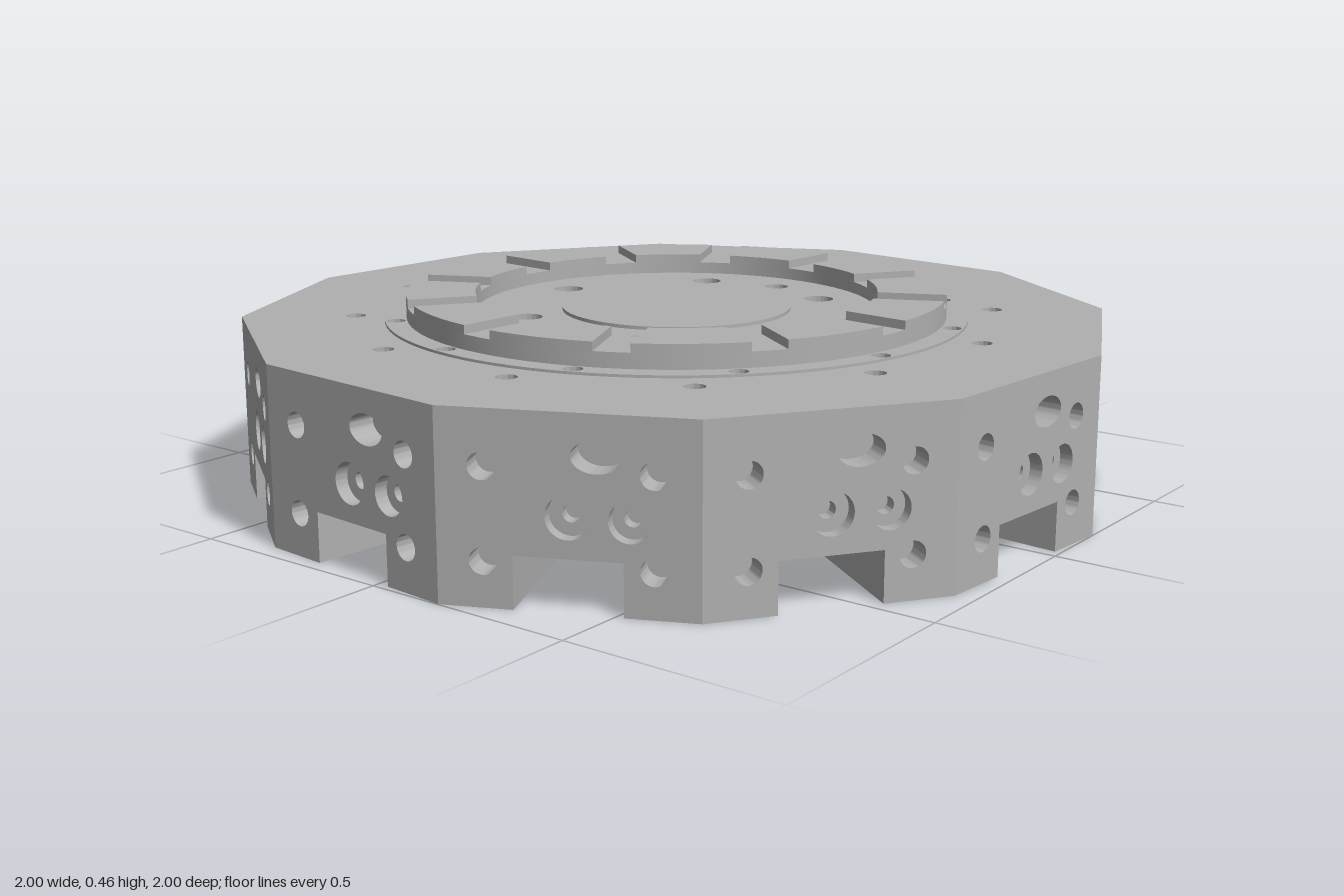
import * as THREE from 'three';
import { toCreasedNormals } from 'three/addons/utils/BufferGeometryUtils.js';

const RAD = Math.PI / 180;
const SIDES = 12, STEP = 30 * RAD;
const FACE0 = 4.8 * RAD;            // direction of the first flat side
const APOTHEM = 0.98, SKIN = 0.06, CORE = APOTHEM - SKIN;
const SLOT = 0.11;                  // half width and height of the tool slots

const steel = new THREE.MeshStandardMaterial({ color: 0xb0b0b0 });
steel.name = 'steel grey';

const faceAngle = (i) => FACE0 + i * STEP;
const cornerAngle = (i) => faceAngle(i) + STEP / 2;
const indices = [...Array(SIDES).keys()];

// Plan point (x, z) from a direction, a distance along it and an offset across it
function plan(angle, along, across = 0) {
  const c = Math.cos(angle), s = Math.sin(angle);
  return new THREE.Vector2(c * along - s * across, s * along + c * across);
}

function ellipse(x, y, rx, ry = rx) {
  return new THREE.Path().absellipse(x, y, rx, ry, 0, Math.PI * 2, true);
}

const hole = (p, r) => ellipse(p.x, p.y, r);

function disc(r, x = 0, y = 0) {
  return new THREE.Shape().absarc(x, y, r, 0, Math.PI * 2, false);
}

function corePolygon() {
  return new THREE.Shape(indices.map((i) => plan(cornerAngle(i), CORE / Math.cos(STEP / 2))));
}

function extrude(shape, depth, segments = 24) {
  const g = new THREE.ExtrudeGeometry(shape, { depth, bevelEnabled: false, curveSegments: segments });
  return toCreasedNormals(g, 0.5);
}

// Horizontal layer between two heights, cut by the given holes
function layer(name, shape, y0, y1, holes = [], segments = 48) {
  shape.holes.push(...holes);
  const g = extrude(shape, y1 - y0, segments);
  g.rotateX(Math.PI / 2);
  g.translate(0, y1, 0);
  const m = new THREE.Mesh(g, steel);
  m.name = name;
  return m;
}

// Outline of one flat side, notched by the tool slot and drilled
function sidePanelGeometry() {
  const w = APOTHEM * Math.tan(STEP / 2);
  const s = new THREE.Shape([
    [-w, 0], [-SLOT, 0], [-SLOT, SLOT], [SLOT, SLOT], [SLOT, 0], [w, 0], [w, 0.4], [-w, 0.4],
  ].map(([x, y]) => new THREE.Vector2(x, y)));
  for (const x of [-0.17, 0.17]) {
    for (const y of [0.095, 0.285]) s.holes.push(ellipse(x, y, 0.028));
  }
  s.holes.push(ellipse(0.057, 0.315, 0.05, 0.033));
  s.holes.push(ellipse(0, 0.193, 0.045));
  s.holes.push(ellipse(0.122, 0.191, 0.042));
  const g = extrude(s, SKIN);
  g.translate(0, 0, CORE);
  return g;
}

export function createModel() {
  const model = new THREE.Group();
  model.name = 'toolTurretDisc';

  // Drilled side panels with counterbore seats
  const panelGeo = sidePanelGeometry();
  const seat = disc(0.046);
  seat.holes.push(ellipse(0, 0, 0.018));
  const seatGeo = extrude(seat, 0.03);
  for (const i of indices) {
    const side = new THREE.Group();
    side.name = 'side';
    const panel = new THREE.Mesh(panelGeo, steel);
    panel.name = 'sidePanel';
    side.add(panel);
    for (const [x, y] of [[0, 0.193], [0.122, 0.191]]) {
      const m = new THREE.Mesh(seatGeo, steel);
      m.name = 'counterboreSeat';
      m.position.set(x, y, CORE);
      side.add(m);
    }
    side.rotation.y = Math.PI / 2 - faceAngle(i);
    model.add(side);
  }

  // Teeth between the tool slots
  const inner = Math.sqrt(0.66 ** 2 - SLOT ** 2);
  for (const i of indices) {
    const a = faceAngle(i), b = faceAngle(i + 1), c = cornerAngle(i);
    model.add(layer('tooth', new THREE.Shape([
      plan(a, inner, SLOT), plan(a, CORE, SLOT), plan(c, CORE / Math.cos(STEP / 2)),
      plan(b, CORE, -SLOT), plan(b, inner, -SLOT), plan(c, 0.66),
    ]), 0, SLOT));
  }

  // Hole patterns
  const slotHoles = [];
  for (const i of indices) {
    for (const r of [0.71, 0.79, 0.87]) {
      for (const t of [-0.06, 0.06]) slotHoles.push(hole(plan(faceAngle(i), r, t), 0.02));
    }
  }
  const outerHoles = () => indices.map((i) => hole(plan(cornerAngle(i), 0.75), 0.023));
  const lipHoles = () => indices.map((i) => hole(plan(11.4 * RAD + i * STEP, 0.655), 0.021));
  const floorHoles = () => [
    ...[0, 2, 4, 6, 8, 10].map((i) => hole(plan(faceAngle(i), 0.36), 0.035)),
    hole(plan(faceAngle(9), 0.37), 0.029),
  ];
  const blindHole = () => hole(plan(faceAngle(3), 0.37), 0.028);

  // Body, stacked from the slot ceilings up to the top face
  model.add(layer('slotCeiling', corePolygon(), 0.11, 0.16, [ellipse(0, 0, 0.66), ...slotHoles]));
  model.add(layer('recessWall', corePolygon(), 0.16, 0.28, [ellipse(0, 0, 0.6)]));
  model.add(layer('webPlate', corePolygon(), 0.28, 0.34, [ellipse(0, 0, 0.275), ...floorHoles()]));
  model.add(layer('topPlate', corePolygon(), 0.34, 0.4,
    [ellipse(0, 0, 0.275), ...floorHoles(), blindHole(), ...outerHoles(), ...lipHoles()]));

  // Sunken floor and centre cap
  model.add(layer('floor', disc(0.475), 0.4, 0.412, [ellipse(0, 0, 0.26), ...floorHoles(), blindHole()]));
  model.add(layer('centreCap', disc(0.268), 0.39, 0.42));

  // Lip and coupling ring
  model.add(layer('lip', disc(0.68), 0.4, 0.406, [ellipse(0, 0, 0.62), ...lipHoles()]));
  model.add(layer('couplingRing', disc(0.63), 0.4, 0.44, [ellipse(0, 0, 0.47)]));

  // Raised pads separated by parallel notches
  const arc = (start, r, reverse) => {
    const d = Math.asin(0.04 / r), pts = [];
    for (let k = 0; k <= 6; k++) pts.push(plan(start + d + (STEP - 2 * d) * k / 6, r));
    return reverse ? pts.reverse() : pts;
  };
  for (const i of indices) {
    const a = faceAngle(i);
    model.add(layer('couplingPad',
      new THREE.Shape([...arc(a, 0.63, false), ...arc(a, 0.47, true)]), 0.44, 0.46));
  }

  // Drilled posts against the wall of the lower recess
  for (const i of [1, 4, 7, 10]) {
    const p = plan(cornerAngle(i), 0.565);
    model.add(layer('post', disc(0.055, p.x, p.y), 0.16, 0.28, [hole(p, 0.023)], 24));
  }
  return model;
}
